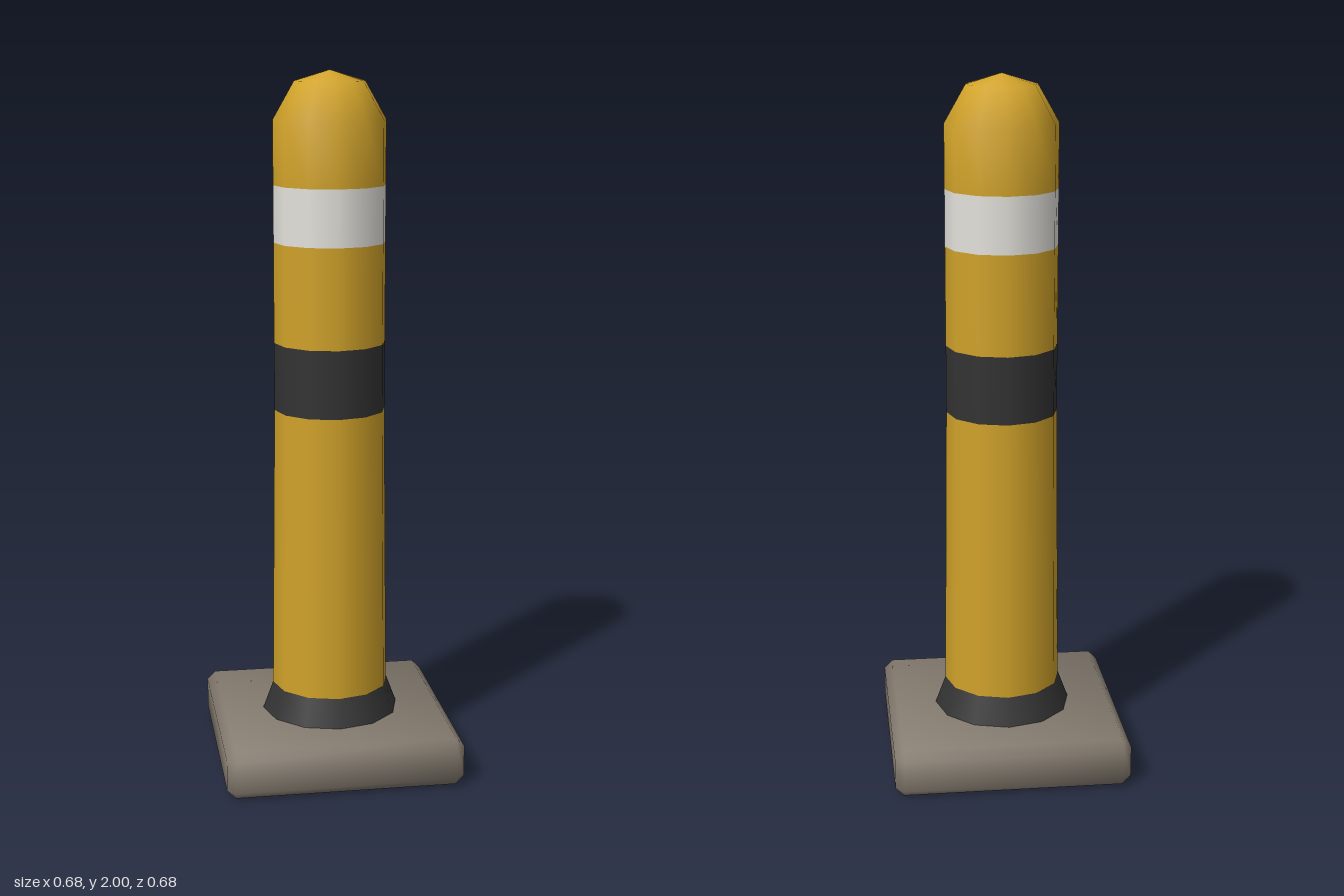
import * as THREE from 'three';
import { ConvexGeometry } from 'three/addons/geometries/ConvexGeometry.js';

const SIDES = 12;

function material(name, color) {
  const m = new THREE.MeshStandardMaterial({ color });
  m.name = name;
  return m;
}

// Box with a single bevel on every edge and soft normals
function bevelledBox(w, h, d, bevel) {
  const half = [w / 2, h / 2, d / 2];
  const points = [];
  for (let axis = 0; axis < 3; axis++) {
    for (const sx of [-1, 1]) for (const sy of [-1, 1]) for (const sz of [-1, 1]) {
      const p = [sx, sy, sz].map((s, i) => s * (half[i] - (i === axis ? 0 : bevel)));
      points.push(new THREE.Vector3(...p));
    }
  }
  const geometry = new ConvexGeometry(points);
  const pos = geometry.attributes.position;
  const normal = geometry.attributes.normal;
  for (let i = 0; i < pos.count; i++) {
    const p = [pos.getX(i), pos.getY(i), pos.getZ(i)];
    const n = p.map((v, k) => Math.sign(v) * (Math.abs(v) > half[k] - bevel / 2 ? 0.876 : 0.341));
    normal.setXYZ(i, ...n);
  }
  return geometry;
}

export function createModel() {
  const yellow = material('yellow plastic', 0xd0a22a);
  const black = material('black rubber', 0x333333);
  const white = material('reflective white', 0xe4e2dc);
  const grey = material('grey base', 0x857c70);

  const group = new THREE.Group();
  group.name = 'bollard';

  function addLathe(name, mat, profile) {
    const points = profile.map(([r, y]) => new THREE.Vector2(r, y));
    const mesh = new THREE.Mesh(new THREE.LatheGeometry(points, SIDES), mat);
    mesh.name = name;
    group.add(mesh);
  }

  // Square foot
  const base = new THREE.Mesh(bevelledBox(0.68, 0.14, 0.68, 0.025), grey);
  base.name = 'base';
  base.position.y = 0.07;
  group.add(base);

  // Flared collar, then the post in coloured sections
  addLathe('collar', black, [[0.2, 0.14], [0.17, 0.22]]);
  addLathe('lowerPost', yellow, [[0.17, 0.22], [0.16, 1.045]]);
  addLathe('blackBand', black, [[0.16, 1.045], [0.16, 1.24]]);
  addLathe('middlePost', yellow, [[0.16, 1.24], [0.16, 1.525]]);
  addLathe('whiteBand', white, [[0.16, 1.525], [0.16, 1.685]]);
  addLathe('domedTop', yellow, [[0.16, 1.685], [0.16, 1.865], [0.1, 1.97], [0, 2]]);

  return group;
}
